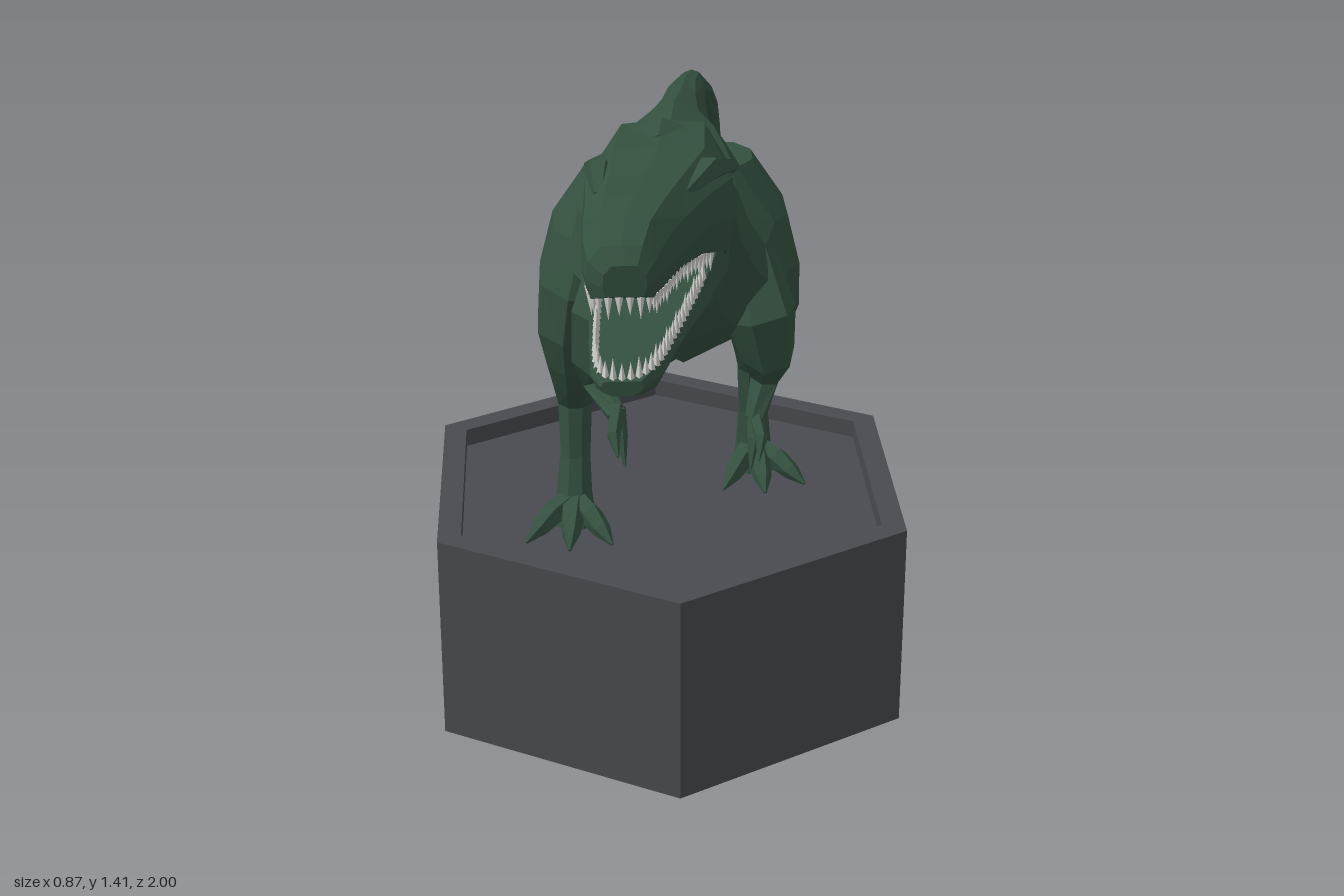
import * as THREE from 'three';
import { mergeGeometries } from 'three/addons/utils/BufferGeometryUtils.js';

const mat = (name, color) => {
  const m = new THREE.MeshStandardMaterial({ color, flatShading: true });
  m.name = name;
  return m;
};

// Skin a list of rings (arrays of Vector3, all the same length) and cap both ends
function skin(rings) {
  const n = rings[0].length, pos = [], idx = [];
  const centre = r => r.reduce((s, p) => s.add(p), new THREE.Vector3()).divideScalar(n);
  rings.forEach(r => r.forEach(p => pos.push(p.x, p.y, p.z)));
  for (let k = 0; k < rings.length - 1; k++) for (let i = 0; i < n; i++) {
    const a = k * n + i, b = k * n + (i + 1) % n;
    if ((i + k) % 2) idx.push(a, b, b + n, a, b + n, a + n);
    else idx.push(a, b, a + n, b, b + n, a + n);
  }
  const last = (rings.length - 1) * n, c = rings.length * n;
  for (const r of [rings[0], rings[rings.length - 1]]) pos.push(...centre(r).toArray());
  for (let i = 0; i < n; i++) {
    const j = (i + 1) % n;
    idx.push(c, j, i, c + 1, last + i, last + j);
  }
  const g = new THREE.BufferGeometry();
  g.setAttribute('position', new THREE.Float32BufferAttribute(pos, 3));
  g.setIndex(idx);
  const flat = g.toNonIndexed();
  flat.computeVertexNormals();
  return flat;
}

// Slices across z: [z, centre x, top, bottom, half width] with a mirrored half outline
function slices(rows, half) {
  const outline = [[0, 1], ...half.map(([u, v]) => [-u, v]), [0, -1], ...[...half].reverse()];
  return skin(rows.map(([z, cx, top, bot, w]) => outline.map(([u, v]) =>
    new THREE.Vector3(cx + u * w, (top + bot) / 2 + v * (top - bot) / 2, z))));
}

// Tapered limb through [x, y, z, radius] joints
function limb(joints, sides = 6) {
  const pts = joints.map(j => new THREE.Vector3(j[0], j[1], j[2]));
  return skin(pts.map((p, k) => {
    const d = pts[Math.min(k + 1, pts.length - 1)].clone().sub(pts[Math.max(k - 1, 0)]).normalize();
    const u = new THREE.Vector3(0.9, 0.1, 0.3).cross(d).normalize(), v = d.clone().cross(u);
    return Array.from({ length: sides }, (_, i) => {
      const a = i / sides * Math.PI * 2;
      return p.clone().addScaledVector(u, Math.cos(a) * joints[k][3]).addScaledVector(v, Math.sin(a) * joints[k][3]);
    });
  }));
}

// Leg from horizontal slices, top down: [y, x, half width, half depth] plus z per slice
const LEG = [[1.1, 0.1, 0.05, 0.07], [1.0, 0.13, 0.085, 0.13], [0.9, 0.152, 0.088, 0.145],
  [0.8, 0.165, 0.08, 0.115], [0.72, 0.17, 0.058, 0.08], [0.66, 0.172, 0.045, 0.068],
  [0.6, 0.174, 0.034, 0.042], [0.5, 0.175, 0.03, 0.03], [0.42, 0.178, 0.036, 0.036], [0.37, 0.18, 0.045, 0.045]];
function legGeometry(side, zs) {
  return skin(LEG.map(([y, x, w, d], k) => Array.from({ length: 8 }, (_, i) => {
    const a = (i + 0.5) / 8 * Math.PI * 2;
    return new THREE.Vector3(side * x + Math.cos(a) * w, y, zs[k] + Math.sin(a) * d);
  })));
}

export function createModel() {
  const model = new THREE.Group();
  model.name = 'dinosaurOnPedestal';
  const green = mat('darkGreenSkin', 0x34503f);
  const stone = mat('greyPedestal', 0x484a50);
  const ivory = mat('ivoryTeeth', 0xd0d0cc);
  const add = (name, geo, m = green, parent = model) => {
    const mesh = new THREE.Mesh(geo, m);
    mesh.name = name;
    parent.add(mesh);
    return mesh;
  };

  // Hexagonal pedestal with a shallow recess
  const profile = [[0, 0], [0.5, 0], [0.5, 0.405], [0.45, 0.405], [0.45, 0.37], [0, 0.37]];
  add('pedestal', new THREE.LatheGeometry(profile.map(p => new THREE.Vector2(...p)), 6), stone).position.z = -0.22;

  // Tail, trunk and neck in one skin
  add('body', slices([
    [-1.0, 0.152, 0.80, 0.74, 0.003], [-0.985, 0.145, 0.885, 0.795, 0.01], [-0.95, 0.13, 0.945, 0.86, 0.018],
    [-0.87, 0.105, 0.995, 0.945, 0.025], [-0.78, 0.08, 1.045, 0.972, 0.03], [-0.65, 0.06, 1.07, 0.995, 0.04],
    [-0.45, 0.04, 1.11, 0.955, 0.055], [-0.3, 0.02, 1.137, 0.86, 0.088], [-0.18, 0.01, 1.157, 0.78, 0.145],
    [-0.05, 0, 1.178, 0.72, 0.178], [0.1, 0, 1.19, 0.81, 0.187], [0.25, 0, 1.197, 0.875, 0.178],
    [0.355, 0, 1.185, 0.90, 0.15], [0.43, -0.005, 1.265, 0.945, 0.118], [0.52, -0.022, 1.36, 1.0, 0.108],
    [0.57, -0.035, 1.385, 1.05, 0.108], [0.62, -0.048, 1.41, 1.125, 0.11], [0.67, -0.055, 1.4, 1.14, 0.1],
  ], [[0.5, 0.85], [0.88, 0.42], [1, -0.1], [0.65, -0.65]]));

  // Skull and lower jaw, turned toward the right
  const head = new THREE.Group();
  head.name = 'head';
  model.add(head);
  const boxy = [[0.58, 0.95], [0.95, 0.4], [1, -0.35], [0.88, -1]];
  add('upperJaw', slices([
    [0.6, -0.045, 1.4, 1.16, 0.105], [0.71, -0.056, 1.397, 1.235, 0.112], [0.79, -0.078, 1.385, 1.262, 0.09],
    [0.86, -0.097, 1.378, 1.27, 0.075], [0.93, -0.113, 1.37, 1.268, 0.06], [0.98, -0.119, 1.352, 1.275, 0.048],
    [1.0, -0.116, 1.33, 1.285, 0.03],
  ], boxy), green, head);
  add('lowerJaw', slices([
    [0.6, -0.045, 1.25, 1.13, 0.1], [0.71, -0.056, 1.245, 1.135, 0.1], [0.78, -0.075, 1.2, 1.147, 0.085],
    [0.86, -0.097, 1.17, 1.135, 0.066], [0.92, -0.112, 1.15, 1.105, 0.05], [0.955, -0.119, 1.14, 1.118, 0.03],
  ], [[0.88, 1], [1, 0.3], [0.85, -0.5], [0.5, -0.95]]), green, head);
  // Brow ridges
  add('leftBrow', limb([[0.05, 1.35, 0.67, 0.012], [0.015, 1.372, 0.74, 0.02], [-0.025, 1.36, 0.81, 0.008]], 5), green, head);
  add('rightBrow', limb([[-0.155, 1.35, 0.67, 0.012], [-0.143, 1.372, 0.74, 0.02], [-0.145, 1.36, 0.81, 0.008]], 5), green, head);

  // Teeth along a U-shaped rail in each jaw: [z, centre x, half width, lip y]
  const toothRow = (name, rail, dir) => {
    const side = s => rail.map(([z, cx, w, y]) => new THREE.Vector3(cx + s * w, y, z));
    const curve = new THREE.CatmullRomCurve3([...side(1), ...side(-1).reverse()]);
    const cones = curve.getSpacedPoints(38).map((p, i) => {
      const h = i % 3 ? 0.028 : 0.036;
      const g = new THREE.ConeGeometry(0.006, h, 4);
      if (dir < 0) g.rotateX(Math.PI);
      return g.translate(p.x, p.y + dir * h * 0.4, p.z);
    });
    add(name, mergeGeometries(cones), ivory, head);
  };
  toothRow('upperTeeth', [[0.75, -0.068, 0.084, 1.25], [0.86, -0.097, 0.062, 1.27], [0.94, -0.114, 0.048, 1.27], [0.985, -0.118, 0.03, 1.278]], -1);
  toothRow('lowerTeeth', [[0.76, -0.07, 0.074, 1.212], [0.86, -0.097, 0.055, 1.17], [0.92, -0.112, 0.04, 1.15], [0.945, -0.118, 0.02, 1.142]], 1);

  // Striding legs with three forward toes and a rear claw
  const legs = [
    ['left', 1, [-0.1, -0.11, -0.13, -0.165, -0.21, -0.262, -0.298, -0.32, -0.335, -0.33]],
    ['right', -1, [-0.05, -0.05, -0.05, -0.055, -0.075, -0.115, -0.158, -0.138, -0.12, -0.115]],
  ];
  for (const [name, s, zs] of legs) {
    const leg = new THREE.Group();
    leg.name = name + 'Leg';
    model.add(leg);
    add('leg', legGeometry(s, zs), green, leg);
    const x = s * 0.18, z = zs[9];
    for (const a of [-0.55, 0.08, 0.75, Math.PI - 0.3]) {
      const len = a > 2 ? 0.065 : 0.12, dx = s * Math.sin(a) * len, dz = Math.cos(a) * len;
      add('toe', limb([[x, 0.415, z, 0.026], [x + dx * 0.5, 0.405, z + dz * 0.5, 0.023],
        [x + dx * 0.8, 0.39, z + dz * 0.8, 0.018], [x + dx * 1.1, 0.374, z + dz * 1.1, 0.003]], 5), green, leg);
    }
  }

  // Small two-fingered arms
  const arms = [['left', 1, 0.12, 0.785, 0.335], ['right', -1, 0.11, 0.82, 0.385]];
  for (const [name, s, wx, wy, wz] of arms) {
    const arm = new THREE.Group();
    arm.name = name + 'Arm';
    model.add(arm);
    add('upperArm', limb([[s * 0.1, 1.08, 0.33, 0.05], [s * 0.125, 0.99, 0.37, 0.06], [s * 0.14, 0.91, 0.35, 0.045],
      [s * 0.14, 0.845, 0.3, 0.026], [s * wx, wy, wz, 0.017]]), green, arm);
    for (const f of [0, 1]) add('finger', limb([[s * wx, wy + 0.01, wz - 0.01, 0.014],
      [s * (wx - 0.004 + f * 0.012), wy - 0.025 + f * 0.01, wz + 0.025 + f * 0.015, 0.012],
      [s * (wx - 0.01 + f * 0.012), wy - 0.068 + f * 0.025, wz + 0.05 + f * 0.018, 0.002]], 5), green, arm);
  }
  return model;
}
